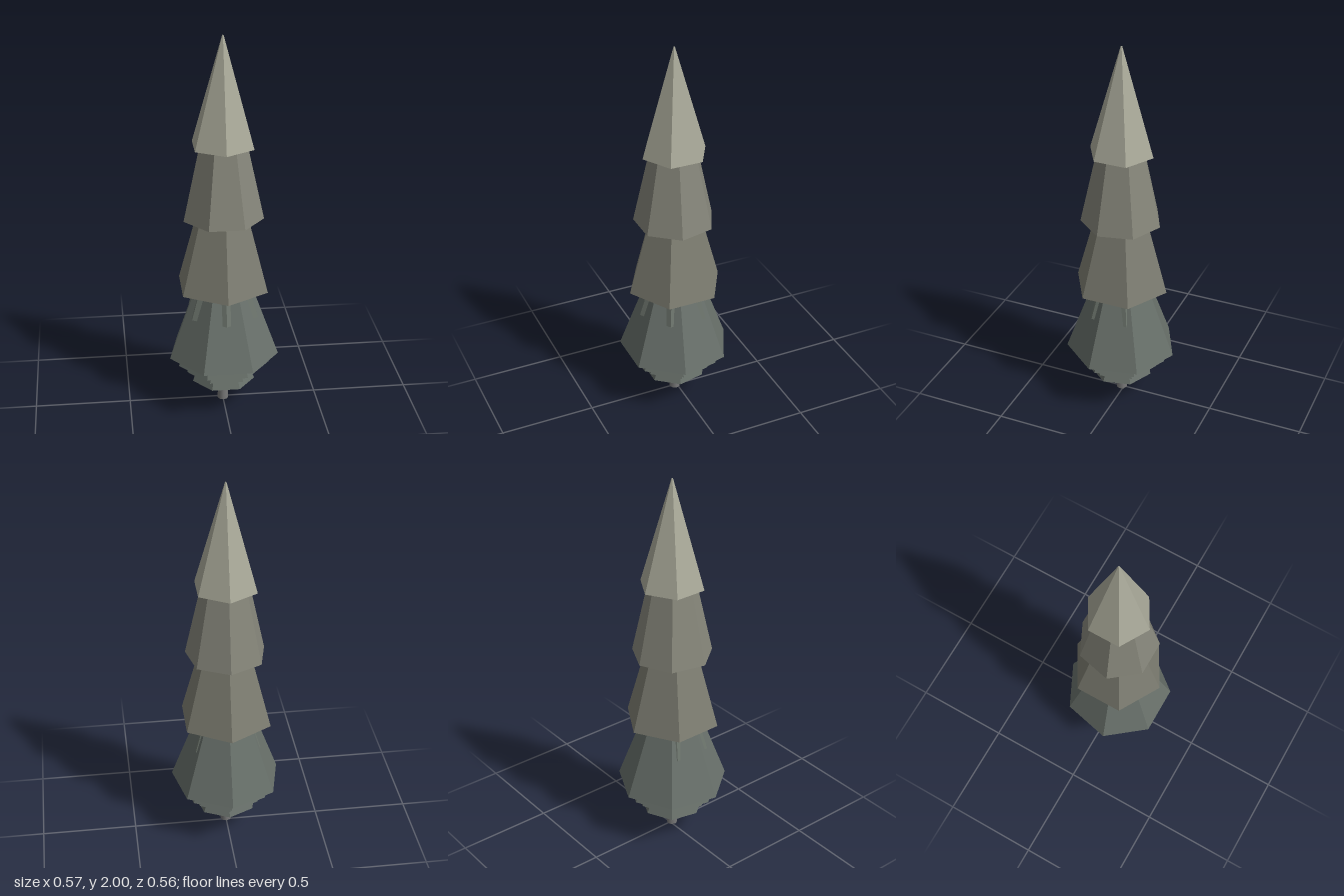
import * as THREE from 'three';

const AXIS_Z = 0.013; // the tree's axis sits slightly forward of the origin

// Tiers from bottom to top: [name, sides, bottom y, top y, bottom radius, top radius, color]
const TIERS = [
  ['lowestSkirt', 7, 0.13, 0.25, 0.168, 0.12, 0x68706a],
  ['lowerSkirt', 7, 0.19, 0.3, 0.2, 0.156, 0x68706a],
  ['upperSkirt', 7, 0.235, 0.36, 0.245, 0.195, 0x68706a],
  ['wideTier', 7, 0.288, 0.73, 0.2935, 0.13, 0x68706a],
  ['innerTier', 6, 0.525, 0.72, 0.198, 0.134, 0x6c746c],
  ['lowerMiddleTier', 6, 0.675, 1.12, 0.252, 0.127, 0x7e7e72],
  ['upperMiddleTier', 7, 1.057, 1.5, 0.21, 0.112, 0x86867a],
  ['tipTier', 6, 1.44, 2, 0.17, 0.004, 0xaaaa9a],
];

// Upright tapered prism with one corner pointing backwards
function taper(name, sides, y0, y1, r0, r1, color, flatShading) {
  const geometry = new THREE.CylinderGeometry(r1, r0, y1 - y0, sides, 1, false, Math.PI);
  const mesh = new THREE.Mesh(geometry, new THREE.MeshStandardMaterial({ color, flatShading }));
  mesh.name = name;
  mesh.position.set(0, (y0 + y1) / 2, AXIS_Z);
  return mesh;
}

export function createModel() {
  const tree = new THREE.Group();
  tree.name = 'tree';

  // Trunk
  tree.add(taper('trunk', 8, 0, 0.16, 0.029, 0.022, 0x777777, false));

  // Foliage
  const foliage = new THREE.Group();
  foliage.name = 'foliage';
  for (const tier of TIERS) foliage.add(taper(...tier, true));
  tree.add(foliage);

  return tree;
}
